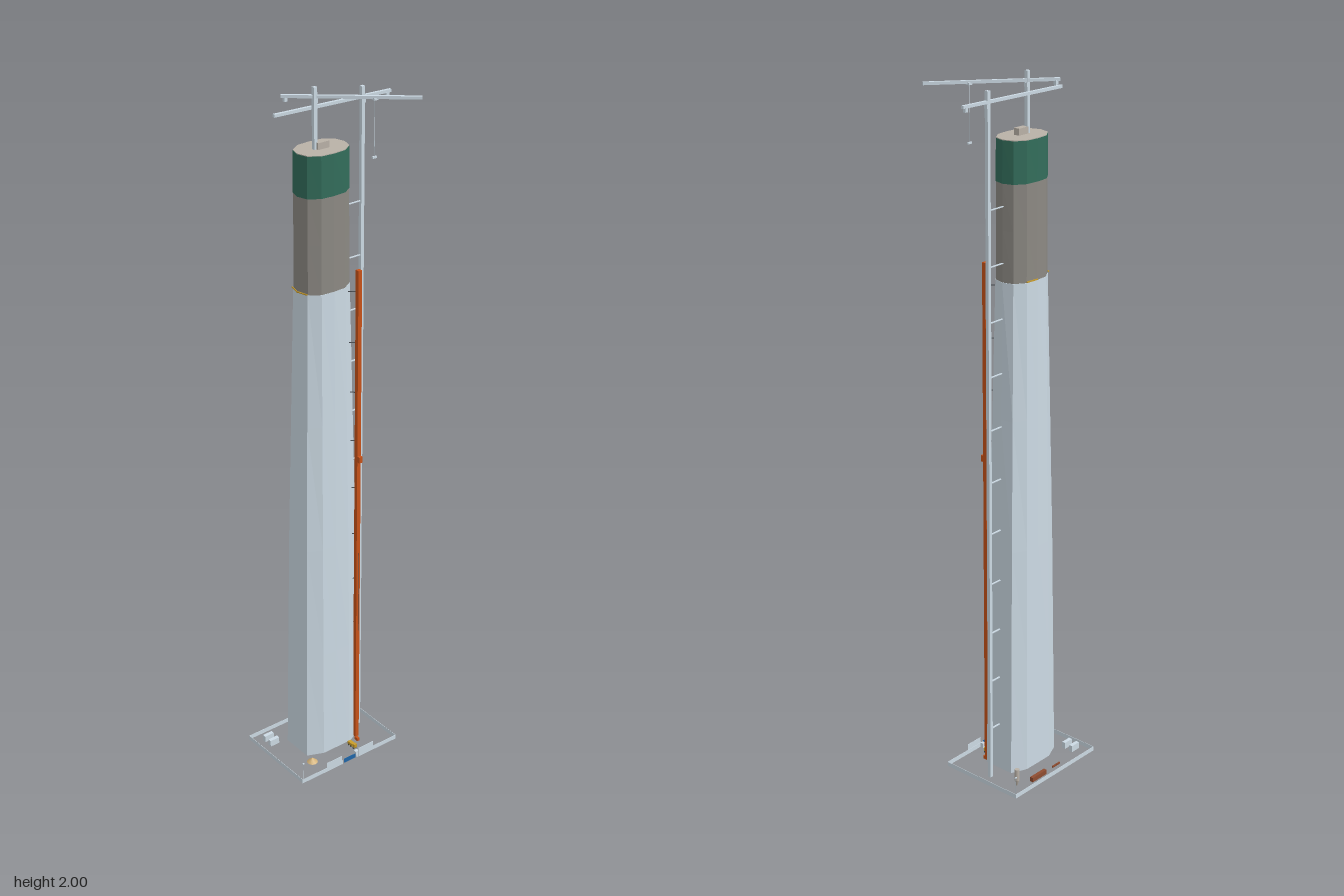
import * as THREE from 'three';

const paint = (name, color, side = THREE.FrontSide) => {
  const m = new THREE.MeshStandardMaterial({ color, side });
  m.name = name;
  return m;
};

const CX = -0.024, CZ = -0.021; // tower axis

// One quarter of the plan at the base and at the top (x, z from the axis)
const BASE = [[0.095, 0], [0.095, 0.047], [0.048, 0.067]];
const TOP = [[0.076, 0], [0.067, 0.03], [0.038, 0.05]];
const BASE_MID = [0, 0.067], TOP_MID = [0, 0.053];

function mirrorPlan(q, mid) {
  const [a, b, c] = q;
  const half = [a, b, c, mid, [-c[0], c[1]], [-b[0], b[1]]];
  return half.concat(half.map(([x, z]) => [-x, -z]));
}
const basePlan = mirrorPlan(BASE, BASE_MID), topPlan = mirrorPlan(TOP, TOP_MID);

// Share of the taper reached at height y
function taper(y) {
  const k = [[0, 0], [0.7, 0.36], [1.46, 0.93], [1.84, 1]];
  for (let i = 1; i < k.length; i++) {
    if (y <= k[i][0]) {
      return THREE.MathUtils.mapLinear(y, k[i - 1][0], k[i][0], k[i - 1][1], k[i][1]);
    }
  }
  return 1;
}

function ring(y, scale = 1) {
  const t = taper(y);
  return basePlan.map(([x, z], i) => [
    CX + scale * THREE.MathUtils.lerp(x, topPlan[i][0], t), y,
    CZ + scale * THREE.MathUtils.lerp(z, topPlan[i][1], t)]);
}

// Faceted shell through the rings at the given heights, closed on top
function shell(heights, scale = 1) {
  const rings = heights.map((y) => ring(y, scale)), pos = [];
  const tri = (...p) => p.forEach((v) => pos.push(...v));
  const n = basePlan.length, last = rings[rings.length - 1];
  for (let i = 0; i < n; i++) {
    const j = (i + 1) % n;
    for (let r = 0; r + 1 < rings.length; r++) {
      const lo = rings[r], hi = rings[r + 1];
      tri(lo[i], hi[i], hi[j]);
      tri(lo[i], hi[j], lo[j]);
    }
    tri([CX, last[0][1], CZ], last[j], last[i]);
  }
  const g = new THREE.BufferGeometry();
  g.setAttribute('position', new THREE.Float32BufferAttribute(pos, 3));
  g.computeVertexNormals();
  return g;
}

export function createModel() {
  const model = new THREE.Group();
  model.name = 'towerUnderConstruction';
  const glass = paint('paleGlassAndSteel', 0xccdae4, THREE.DoubleSide);
  const concrete = paint('concrete', 0x8c8983), slab = paint('paleSlab', 0xb9b1a7);
  const green = paint('greenNetting', 0x336d5b);
  const rust = paint('hoistOrange', 0xc85218), brick = paint('brick', 0x8e4c30);
  const sand = paint('sand', 0xd2b27a), yellow = paint('yellow', 0xc89c2a);
  const blue = paint('gateBlue', 0x1f66a8), dark = paint('darkSteel', 0x4c5156);

  const add = (name, geo, mat, x = 0, y = 0, z = 0, parent = model) => {
    const m = new THREE.Mesh(geo, mat);
    m.name = name;
    m.position.set(x, y, z);
    parent.add(m);
    return m;
  };
  // Box standing on height y
  const box = (name, mat, w, h, d, x, y, z, parent) =>
    add(name, new THREE.BoxGeometry(w, h, d), mat, x, y + h / 2, z, parent);
  // Square bar between two points
  const bar = (name, mat, a, b, s, parent) => {
    const p = new THREE.Vector3(...a), q = new THREE.Vector3(...b);
    const m = add(name, new THREE.BoxGeometry(s, s, p.distanceTo(q)), mat, 0, 0, 0, parent);
    m.position.copy(p).lerp(q, 0.5);
    m.lookAt(q);
    return m;
  };

  // Tower: glazed shaft, bare concrete floors, netted top floors
  add('glazedShaft', shell([0.012, 0.35, 0.7, 1.08, 1.462]), glass);
  add('concreteFloors', shell([1.462, 1.6, 1.725], 0.985), concrete);
  add('nettedFloors', shell([1.725, 1.837]), green);
  add('roofSlab', shell([1.836, 1.839], 0.99), slab);
  box('roofCore', slab, 0.036, 0.018, 0.018, -0.025, 1.839, -0.017);

  // Short safety rails at the glazing top
  const edge = ring(1.465, 1.03);
  for (const i of [5, 6, 9]) bar('safetyRail', yellow, edge[i], edge[i + 1], 0.003);

  // Crane: mast, jib along a line, counterweight, cab
  function crane(name, x, z, y0, y1, jibY, tail, tip) {
    const g = new THREE.Group();
    g.name = name;
    model.add(g);
    box('craneMast', glass, 0.01, y1 - y0, 0.01, x, y0, z, g);
    bar('craneJib', glass, [tail[0], jibY, tail[1]], [tip[0], jibY, tip[1]], 0.008, g);
    box('craneCab', glass, 0.011, 0.011, 0.011, x + 0.002, jibY - 0.016, z, g);
    box('counterweight', glass, 0.009, 0.012, 0.008,
      THREE.MathUtils.lerp(tail[0], tip[0], 0.03), jibY - 0.014,
      THREE.MathUtils.lerp(tail[1], tip[1], 0.03), g);
    return g;
  }
  const tall = crane('tallCrane', 0.108, -0.022, 0, 1.972, 1.944, [0.195, -0.017], [-0.157, -0.039]);
  const roof = crane('roofCrane', -0.045, -0.02, 1.839, 2.0, 1.975, [-0.108, -0.075], [0.161, 0.149]);
  // Flat ties from the tower to the tall mast
  for (let i = 0; i < 11; i++) {
    box('mastTie', glass, 0.06, 0.002, 0.005, 0.075, 0.154 + i * 0.151, -0.022, tall);
  }
  // Hoist rope and hook
  box('trolley', glass, 0.012, 0.006, 0.012, 0.071, 1.968, 0.074, roof);
  box('hoistRope', glass, 0.001, 0.15, 0.001, 0.071, 1.82, 0.074, roof);
  box('hookBlock', glass, 0.014, 0.005, 0.005, 0.071, 1.816, 0.074, roof);

  // Construction lift on the front corner
  box('liftMast', rust, 0.012, 1.49, 0.012, 0.052, 0.015, 0.039);
  for (let i = 0; i < 10; i++) {
    const y = 0.12 + i * 0.147;
    bar('liftTie', dark, [0.025, y, 0.01], [0.051, y, 0.036], 0.002);
  }
  box('liftCage', rust, 0.011, 0.018, 0.009, 0.052, 0.94, 0.049);
  box('liftCable', dark, 0.001, 0.26, 0.001, 0.052, 0.39, 0.047);

  // Site fence panels with hoardings and a gate
  const X0 = -0.196, X1 = 0.147, Z0 = -0.153, Z1 = 0.108, H = 0.013;
  const panel = (name, mat, w, h, x, y, z, turn = 0) => {
    add(name, new THREE.BoxGeometry(w, h, 0.001), mat, x, y + h / 2, z).rotation.y = turn;
  };
  for (const x of [X0, X1]) panel('sideFence', glass, Z1 - Z0, H, x, 0, (Z0 + Z1) / 2, Math.PI / 2);
  panel('backFence', glass, X1 - X0, H, (X0 + X1) / 2, 0, Z0);
  panel('frontFence', glass, -0.05 - X0, H, (X0 - 0.05) / 2, 0, Z1);
  panel('frontFence', glass, X1, H, X1 / 2, 0, Z1);
  for (const x of [-0.082, 0.033]) panel('hoarding', glass, 0.055, 0.03, x, 0.001, Z1 + 0.001);
  panel('gate', blue, 0.042, 0.014, -0.025, 0.002, Z1);

  // Site cabins, stacks, silo, sand heap
  for (const z of [-0.113, -0.086]) box('siteCabin', glass, 0.031, 0.02, 0.011, -0.156, 0.005, z);
  box('guardHut', glass, 0.011, 0.015, 0.01, 0.006, 0.002, 0.099);
  box('brickStack', brick, 0.06, 0.014, 0.01, 0.026, 0.003, -0.132);
  for (const x of [-0.065, -0.048]) box('rebarBundle', brick, 0.015, 0.005, 0.004, x, 0.003, -0.128);
  add('siloBody', new THREE.CylinderGeometry(0.007, 0.007, 0.035, 12), slab, 0.097, 0.038, -0.113);
  add('siloHopper', new THREE.CylinderGeometry(0.007, 0.002, 0.018, 12), slab, 0.097, 0.0115, -0.113);
  add('sandHeap', new THREE.ConeGeometry(0.016, 0.014, 12), sand, -0.116, 0.01, 0.048);

  // Yellow truck and orange pump
  box('truckBed', yellow, 0.011, 0.009, 0.02, 0.021, 0.006, 0.057);
  box('truckCab', yellow, 0.01, 0.012, 0.009, 0.021, 0.006, 0.073);
  for (const z of [0.051, 0.061, 0.073]) {
    const axle = add('truckWheels', new THREE.CylinderGeometry(0.003, 0.003, 0.012, 8), dark, 0.021, 0.005, z);
    axle.rotation.z = Math.PI / 2;
  }
  box('concretePump', rust, 0.008, 0.01, 0.014, 0.05, 0.004, 0.047);

  // Floodlights on thin poles
  for (const [x, z] of [[0.131, -0.139], [-0.182, 0.093]]) {
    box('lightPole', glass, 0.001, 0.052, 0.001, x, 0, z);
    box('floodlight', glass, 0.007, 0.003, 0.003, x, 0.052, z);
  }
  return model;
}
